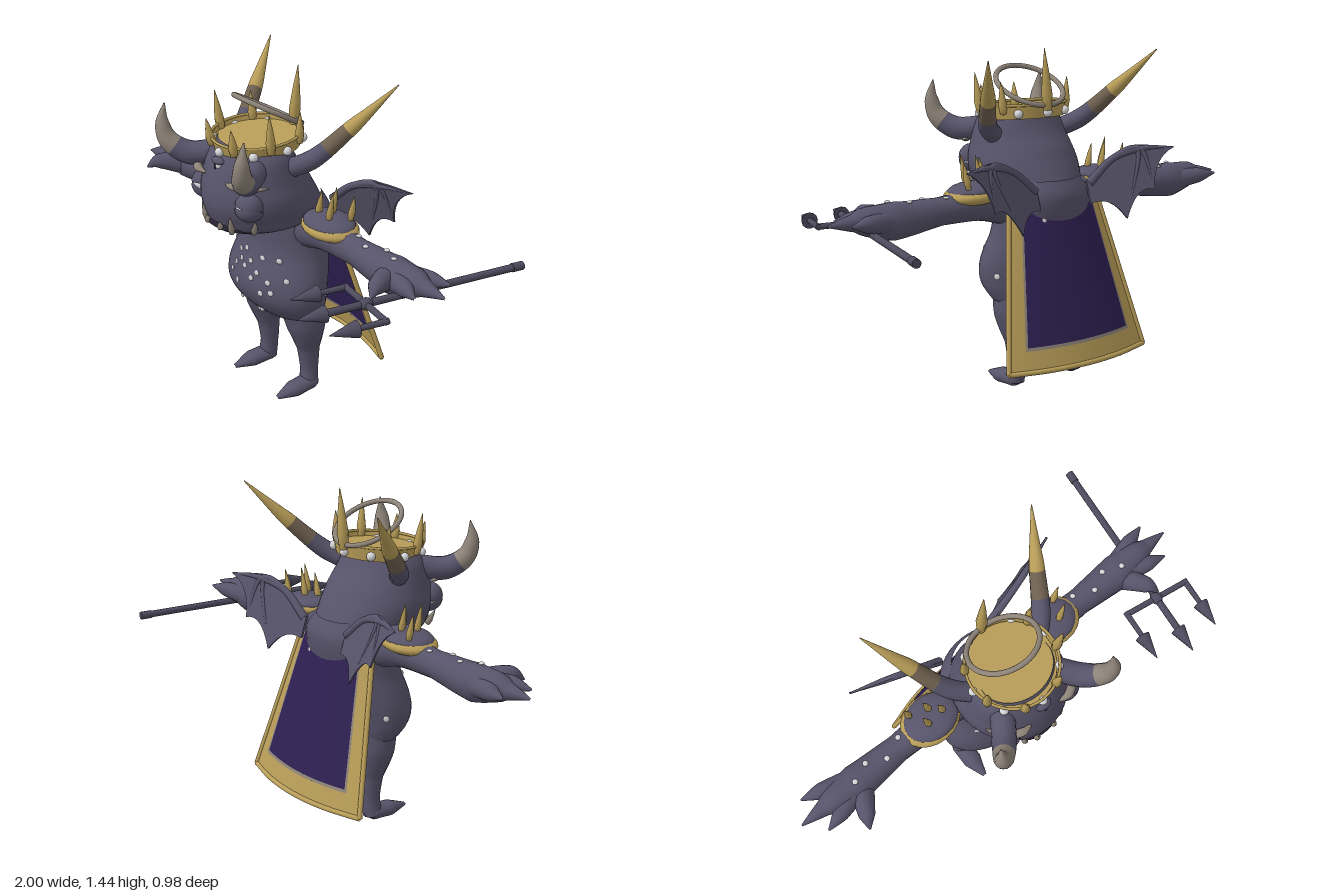
import * as THREE from 'three';
import { mergeVertices } from 'three/addons/utils/BufferGeometryUtils.js';
import { ParametricGeometry } from 'three/addons/geometries/ParametricGeometry.js';

const material = (name, color, side = THREE.FrontSide) => {
  const m = new THREE.MeshStandardMaterial({ color, side });
  m.name = name;
  return m;
};
const skin = material('skin', 0x57536a);
const iron = material('iron', 0x4c4a5c);
const gold = material('gold', 0xb89d58, THREE.DoubleSide);
const purple = material('purple cloth', 0x2e2052, THREE.DoubleSide);
const horn = material('horn', 0x8d8378, THREE.DoubleSide);
const brown = material('brown horn', 0x6f6150);
const white = material('white', 0xd6d6da);
const dark = material('dark', 0x272331);

const V = (a) => new THREE.Vector3(...a);
const lerp = THREE.MathUtils.lerp;

export function createModel() {
  const model = new THREE.Group();
  model.name = 'hornedImp';

  function add(name, geometry, mat, pos = [0, 0, 0], scale = [1, 1, 1], parent = model) {
    const mesh = new THREE.Mesh(geometry, mat);
    mesh.name = name;
    mesh.position.set(...pos);
    mesh.scale.set(...scale);
    parent.add(mesh);
    return mesh;
  }

  // Tapered tube through points; bands = [[material, end], ...] colour it along its length
  function limb(name, points, radii, bands, flat = 1) {
    const curve = new THREE.CatmullRomCurve3(points.map(V));
    const seg = 30, sides = 16;
    let geo = new THREE.TubeGeometry(curve, seg, 1, sides);
    const p = geo.attributes.position, v = new THREE.Vector3();
    for (let i = 0; i <= seg; i++) {
      const center = curve.getPointAt(i / seg);
      const f = curve.getUtoTmapping(i / seg) * (radii.length - 1);
      const k = Math.min(Math.floor(f), radii.length - 2);
      const r = lerp(radii[k], radii[k + 1], f - k);
      for (let j = 0; j <= sides; j++) {
        const n = i * (sides + 1) + j;
        v.fromBufferAttribute(p, n).sub(center).multiplyScalar(r);
        v.y *= flat;
        v.add(center);
        p.setXYZ(n, v.x, Math.max(0, v.y), v.z);
      }
    }
    geo.deleteAttribute('uv');
    geo.deleteAttribute('normal');
    geo = mergeVertices(geo);
    geo.computeVertexNormals();
    if (!Array.isArray(bands)) return add(name, geo, bands);
    let from = 0;
    bands.forEach(([, end], i) => {
      const to = Math.round(end * seg) * sides * 6;
      geo.addGroup(from, to - from, i);
      from = to;
    });
    return add(name, geo, bands.map((b) => b[0]));
  }

  // Upright body of elliptic slices [half width, front z, back z], evenly spaced in y
  function trunk(name, rows, y0, y1) {
    const curve = new THREE.CatmullRomCurve3(rows.map(V), false, 'catmullrom');
    const slice = (y) => {
      const s = curve.getPoint((y - y0) / (y1 - y0));
      return { w: s.x, c: (s.y + s.z) / 2, d: (s.y - s.z) / 2 };
    };
    let geo = new ParametricGeometry((u, v, t) => {
      const y = lerp(y0, y1, v), s = slice(y), a = u * Math.PI * 2;
      t.set(s.w * Math.sin(a), y, s.c + s.d * Math.cos(a));
    }, 40, 36);
    geo.deleteAttribute('uv');
    geo.deleteAttribute('normal');
    geo = mergeVertices(geo);
    geo.computeVertexNormals();
    add(name, geo, skin);
    return (x, y, sign = 1) => {
      const s = slice(y), q = sign * Math.sqrt(Math.max(0, 1 - (x / s.w) ** 2));
      return { pos: V([x, y, s.c + s.d * q]), normal: V([x / s.w ** 2, 0, q / s.d]).normalize() };
    };
  }

  const bodyAt = trunk('body', [[.01, .01, -.03], [.2, .1, -.12], [.255, .165, -.135], [.272, .198, -.14],
    [.27, .2, -.15], [.255, .185, -.16], [.235, .165, -.17], [.225, .155, -.18], [.22, .155, -.19],
    [.21, .15, -.19], [.15, .1, -.16]], .3, .9);
  const headAt = trunk('head', [[.02, .22, .14], [.19, .32, -.1], [.222, .35, -.15], [.235, .362, -.13],
    [.235, .36, -.1], [.222, .35, -.07], [.21, .335, -.03], [.195, .31, 0], [.16, .28, .02]], .77, 1.17);

  const ball = new THREE.SphereGeometry(1, 20, 14);
  const spike = (r, h) => new THREE.LatheGeometry(
    [[.001, 0], [r * .75, h * .05], [r, h * .3], [r * .6, h * .65], [.001, h]].map((p) => new THREE.Vector2(...p)), 10);

  // Pale spots on belly and back
  const spots = [[-.03, .665], [-.075, .645], [.015, .625], [.075, .655], [.15, .66], [-.05, .615], [-.015, .595],
    [.065, .59], [-.085, .585], [.13, .565], [-.11, .545], [-.055, .515], [.1, .51], [.04, .56], [-.175, .645],
    [-.085, .415], [.055, .405], [-.015, .37], [.2, .585], [.17, .325], [.15, .525],
    [.1, .74, -1], [-.12, .68, -1], [.25, .5, -1], [-.25, .5, -1]];
  for (const [x, y, sign] of spots) {
    const { pos, normal } = bodyAt(x, y, sign);
    add('spot', ball, white, pos.toArray(), [.013, .013, .005]).lookAt(pos.clone().add(normal));
  }

  for (const s of [1, -1]) {
    const m = (pts) => pts.map(([x, y, z]) => [s * x, y, z]);

    // Legs and feet
    limb('leg', m([[.13, .44, 0], [.15, .32, -.015], [.147, .2, -.03], [.148, .1, -.035], [.155, .02, -.03]]),
      [.1, .085, .05, .04, .042], skin);
    limb('foot', m([[.155, .025, -.075], [.155, .03, -.04], [.16, .022, .06], [.162, .012, .15]]),
      [.005, .044, .044, .01], skin, .75);

    // Arms, fingers and arm spots
    limb('arm', m([[.12, .78, -.01], [.3, .81, 0], [.5, .805, 0], [.72, .795, 0], [.85, .81, 0], [.94, .81, 0]]),
      [.09, .07, .058, .078, .056, .01], skin);
    for (const [x, y, z] of [[1, .81, 0], [.94, .815, -.085], [.93, .805, .085], [.8, .785, .185]])
      limb('finger', m([[.72, .795, z * .2], [lerp(.74, x, .6), .81, z * .75], [x, y, z]]), [.05, .034, .004], skin);
    for (const [x, y, z] of [[.57, .862, .02], [.65, .866, -.02], [.73, .872, .015], [.48, .862, -.02]])
      add('armSpot', ball, white, [s * x, y, z], [.012, .006, .012]);

    // Shoulder pads with spikes
    add('shoulderPadRim', ball, gold, [s * .33, .855, .005], [.135, .042, .108]).rotation.z = s * -.04;
    add('shoulderPadTop', ball, skin, [s * .325, .872, .005], [.122, .036, .098]).rotation.z = s * -.04;
    [[.27, .02, .1], [.31, -.02, .12], [.35, .03, .12], [.39, -.05, .1]].forEach(([x, z, h]) => {
      add('shoulderSpike', spike(.015, h + .02), gold, [s * x, .885, z]).rotation.z = s * -.2;
    });

    // Bat wings with finger bones
    const wingZ = (x, y) => -.14 - .35 * (x - .15) - .35 * (.95 - y);
    const w = new THREE.Shape();
    w.moveTo(.13, .88);
    w.quadraticCurveTo(.3, 1.03, .4, 1.015);
    w.quadraticCurveTo(.47, 1.01, .53, 1.0);
    w.quadraticCurveTo(.43, .96, .41, .83);
    w.quadraticCurveTo(.34, .86, .27, .72);
    w.quadraticCurveTo(.22, .82, .13, .79);
    const wingGeo = new THREE.ExtrudeGeometry(w, { depth: .01, bevelEnabled: false, curveSegments: 8 });
    const wp = wingGeo.attributes.position;
    for (let i = 0; i < wp.count; i++) wp.setZ(i, wp.getZ(i) + wingZ(wp.getX(i), wp.getY(i)));
    if (s < 0) { // reverse corners on the mirrored side
      for (let i = 0; i < wp.count; i += 3) {
        const a = new THREE.Vector3().fromBufferAttribute(wp, i), b = new THREE.Vector3().fromBufferAttribute(wp, i + 1);
        wp.setXYZ(i, b.x, b.y, b.z);
        wp.setXYZ(i + 1, a.x, a.y, a.z);
      }
      for (let i = 0; i < wp.count; i++) wp.setX(i, -wp.getX(i));
    }
    wingGeo.computeVertexNormals();
    add('wing', wingGeo, skin);
    for (const [x, y] of [[.53, 1], [.41, .83], [.27, .72]]) {
      const mid = [lerp(.38, x, .1), 1.0];
      const path = [[.14, .87], [.26, .965], mid, [x, y]].map(([a, b]) => [a, b, wingZ(a, b) + .005]);
      limb('wingBone', m(path), [.018, .015, .013, .003], skin);
    }

    // Front horns and long rear horns
    limb('frontHorn', m([[.13, 1.09, .22], [.21, 1.08, .325], [.265, 1.13, .385], [.285, 1.2, .4], [.283, 1.287, .388]]),
      [.05, .05, .042, .03, .002], [[skin, .5], [horn, 1]]);
    limb('rearHorn', m([[.16, 1.07, .1], [.24, 1.12, .03], [.33, 1.26, -.105], [.425, 1.425, -.25]]),
      [.04, .04, .031, .002], [[skin, .33], [brown, .52], [gold, 1]]);

    // Eyes: ball, heavy lids, pupil and brow
    const eye = new THREE.Group();
    eye.name = 'eye';
    eye.position.set(s * .158, .95, .28);
    eye.rotation.y = s * .5;
    model.add(eye);
    add('eyeball', ball, white, [0, 0, 0], [.053, .053, .053], eye);
    add('pupil', ball, dark, [0, .004, .047], [.01, .02, .008], eye);
    const lid = new THREE.SphereGeometry(.059, 20, 8, 0, Math.PI * 2, 0, Math.PI / 2);
    add('upperLid', lid, skin, [0, .004, 0], [1, 1, 1], eye).rotation.set(-.1, 0, s * -.2);
    add('lowerLid', lid, skin, [0, -.012, 0], [1, .85, 1], eye).rotation.x = Math.PI - .35;
    limb('brow', m([[.07, 1.035, .33], [.12, 1.04, .335], [.18, 1.035, .295], [.225, 1.04, .23]]),
      [.004, .018, .018, .003], horn, .8);

    // Tusks
    for (const [x, y, h, lean] of [[.045, .83, .035, 0], [.09, .815, .09, -.1], [.165, .83, .08, -.45]]) {
      const at = headAt(x, y + .02).pos;
      const t = add('tusk', spike(.014, h), horn, [s * x, y, at.z + .006]);
      t.rotation.set(.2, 0, s * lean);
    }
  }

  // Mouth, chin and third eye
  limb('mouth', [-.14, -.07, 0, .07, .14].map((x) => headAt(x, .838 - x * x).pos.toArray()),
    [.004, .014, .014, .014, .004], dark);
  add('thirdEye', ball, white, [0, 1.09, .315], [.027, .022, .02]);
  add('thirdPupil', ball, dark, [0, 1.09, .333], [.006, .016, .005]);
  add('thirdLid', ball, skin, [0, 1.107, .316], [.036, .015, .024]);

  // Crown with spikes and pearls
  const crown = new THREE.Group();
  crown.name = 'crown';
  crown.position.set(0, 1.135, .125);
  crown.rotation.x = .08;
  model.add(crown);
  add('crownBand', new THREE.CylinderGeometry(.188, .176, .06, 40, 1, true), gold, [0, .03, 0], [1, 1, 1], crown);
  add('crownCap', new THREE.CylinderGeometry(.178, .176, .03, 40), gold, [0, .02, 0], [1, 1, 1], crown);
  add('crownEdge', new THREE.TorusGeometry(.187, .006, 8, 40), gold, [0, .058, 0], [1, 1, 1], crown).rotation.x = Math.PI / 2;
  const ring = (deg, r, y) => [r * Math.sin(deg * Math.PI / 180), y, r * Math.cos(deg * Math.PI / 180)];
  for (const [deg, h, r] of [[25, .12, .02], [72, .18, .02], [120, .14, .019], [180, .27, .024]])
    for (const s of deg === 180 ? [1] : [1, -1]) {
      const t = add('crownSpike', spike(r, h), gold, ring(s * deg, .185, .02), [1, 1, 1], crown);
      t.rotation.set(.1 * Math.cos(deg * Math.PI / 180), 0, s * -.08);
    }
  for (const deg of [0, 50, 95, 140, 180, 220, 265, 310])
    add('pearl', ball, white, ring(deg, .185, .022), [.019, .019, .019], crown);

  // Tilted halo
  add('halo', new THREE.TorusGeometry(.148, .011, 10, 48), horn, [0, 1.274, .072]).rotation.x = Math.PI / 2 - .5;

  // Cape: gold border, thin trim and purple panel on one curved sheet
  const cape = (u, v, t, out = 0) => t.set(u * lerp(.23, .355, v), lerp(.8, .155, v),
    lerp(-.1, -.275, v) - .065 * (1 - u * u) - out);
  const patch = (name, mat, u0, u1, v0, v1) => add(name,
    new ParametricGeometry((a, b, t) => cape(lerp(u0, u1, a), lerp(v0, v1, b), t), 16, 8), mat);
  patch('capePanel', purple, -.77, .77, 0, .85);
  patch('capeTrimBottom', horn, -.8, .8, .85, .87);
  patch('capeHem', gold, -1, 1, .87, 1);
  for (const s of [1, -1]) {
    patch('capeTrimSide', horn, s * .77, s * .8, 0, .85);
    patch('capeBorder', gold, s * .8, s, 0, .87);
  }
  const edge = (name, list) => limb(name, list.map(([u, v]) => cape(u, v, new THREE.Vector3()).toArray()),
    list.map(() => .011), gold);
  edge('capeBottomEdge', [[-1, 1], [-.5, 1], [0, 1], [.5, 1], [1, 1]]);
  for (const s of [1, -1]) edge('capeSideEdge', [[s, 0], [s, .5], [s, 1]]);

  // Trident held in the left hand
  const trident = new THREE.Group();
  trident.name = 'trident';
  trident.position.set(.783, .76, .195);
  trident.rotation.y = -.175;
  model.add(trident);
  const rod = (name, r0, r1, len, x, z) => {
    add(name, new THREE.CylinderGeometry(r1, r0, len, 12), iron, [x, 0, z + len / 2], [1, 1, 1], trident).rotation.x = Math.PI / 2;
  };
  rod('shaft', .015, .015, .9, 0, -.71);
  rod('pommel', .018, .018, .05, 0, -.71);
  add('crossbar', new THREE.CylinderGeometry(.013, .013, .31, 12), iron, [0, 0, 0], [1, 1, 1], trident).rotation.z = Math.PI / 2;
  add('crossbarHub', ball, iron, [0, 0, 0], [.026, .024, .03], trident);
  for (const [x, len] of [[-.15, .13], [0, .18], [.15, .13]]) {
    rod('prong', .013, .011, len, x, -.01);
    rod('prongTip', .034, .001, .115, x, len - .01);
  }
  return model;
}
